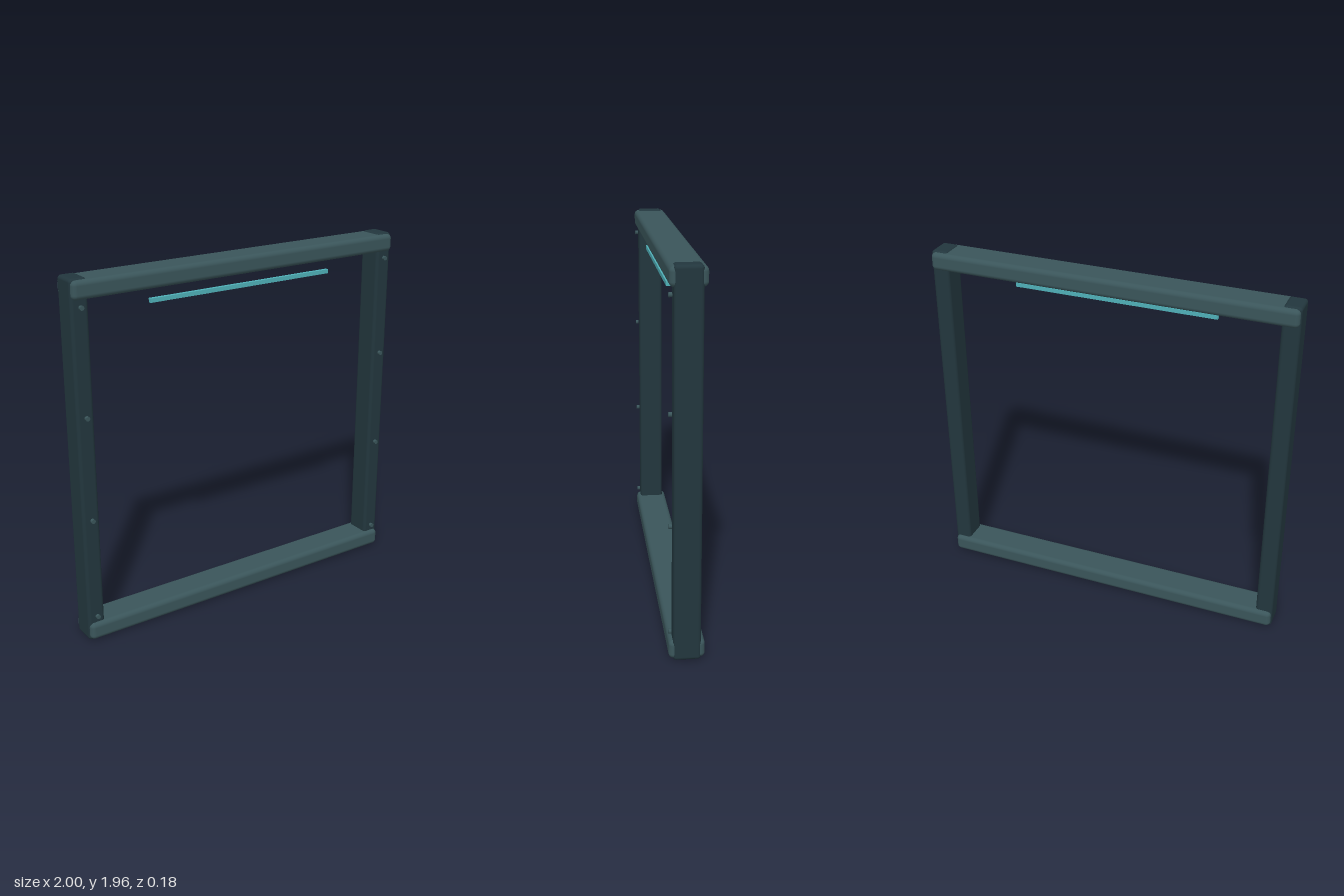
import * as THREE from 'three';
import { RoundedBoxGeometry } from 'three/addons/geometries/RoundedBoxGeometry.js';

export function createModel() {
  const group = new THREE.Group();
  const material = (name, color) => {
    const m = new THREE.MeshStandardMaterial({ color });
    m.name = name;
    return m;
  };
  const beamPaint = material('slate teal', 0x3a555a);
  const postPaint = material('dark slate', 0x22363d);
  const lightPaint = material('bright teal', 0x4fb0b8);

  const add = (name, geometry, mat, x, y, z) => {
    const mesh = new THREE.Mesh(geometry, mat);
    mesh.name = name;
    mesh.position.set(x, y, z);
    group.add(mesh);
  };

  // Horizontal beams, a little deeper than the posts
  const beam = new RoundedBoxGeometry(1.99, 0.096, 0.18, 4, 0.025);
  add('topBeam', beam, beamPaint, 0, 1.905, 0);
  add('bottomBeam', beam, beamPaint, 0, 0.055, 0);

  // Side posts with a column of bolts on the front
  const post = new RoundedBoxGeometry(0.095, 1.96, 0.138, 4, 0.018);
  const bolt = new THREE.CylinderGeometry(0.012, 0.012, 0.016, 12).rotateX(Math.PI / 2);
  for (const [side, s] of [['left', 1], ['right', -1]]) {
    add(side + 'Post', post, postPaint, s * 0.9525, 0.98, 0);
    for (let i = 0; i < 4; i++) {
      add(side + 'Bolt' + (i + 1), bolt, beamPaint, s * 0.95, 0.14 + i * 0.56, 0.081);
    }
  }

  // Thin light bar below the top beam
  add('lightBar', new THREE.BoxGeometry(1.12, 0.022, 0.02), lightPaint, 0, 1.792, 0.048);
  return group;
}
